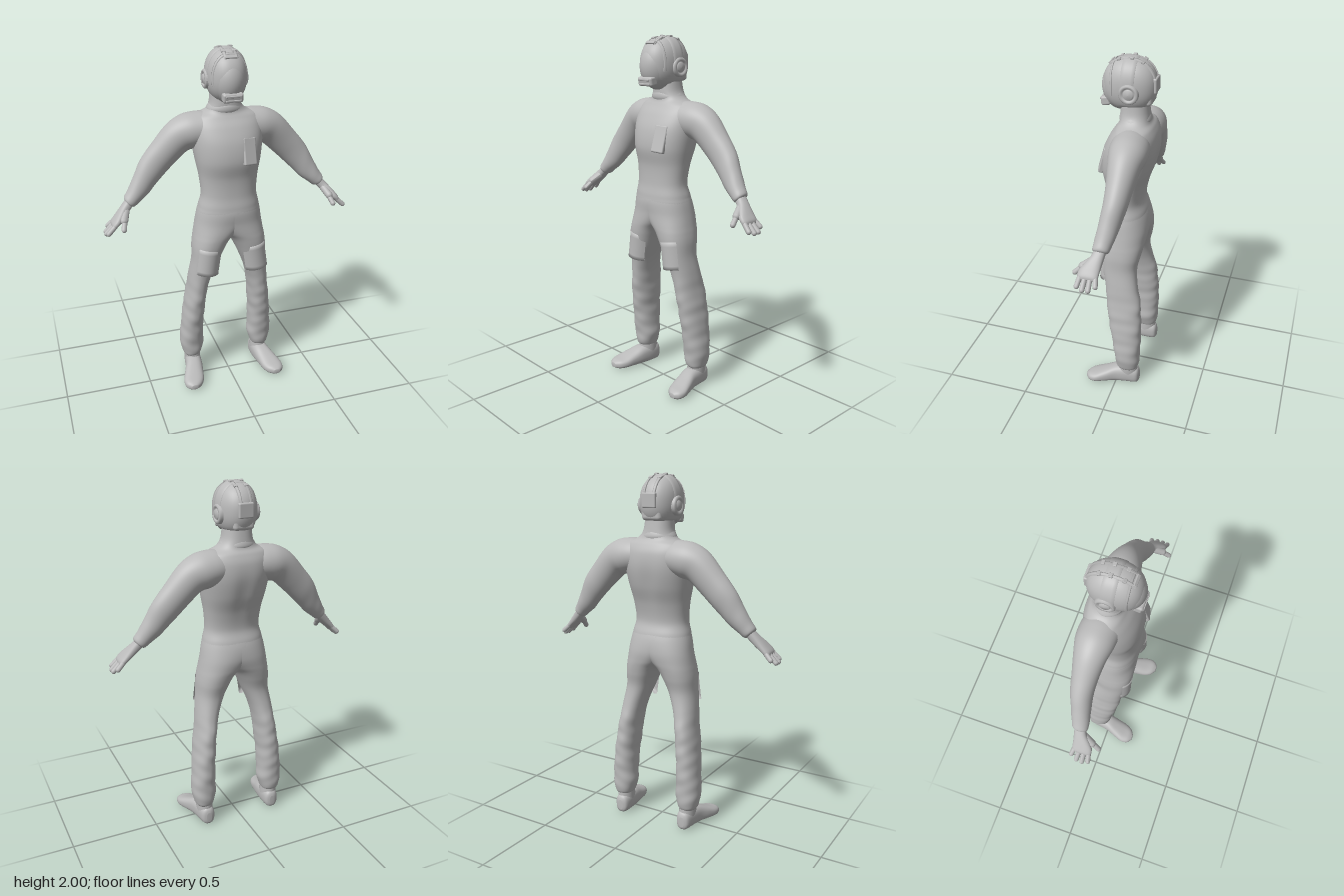
import * as THREE from 'three';
import { RoundedBoxGeometry } from 'three/addons/geometries/RoundedBoxGeometry.js';

const Y = new THREE.Vector3(0, 1, 0), Z = new THREE.Vector3(0, 0, 1);

// Smooth value k of a section list at position t (in section units)
function sample(list, t, k) {
  const i = Math.min(Math.floor(t), list.length - 2), f = t - i;
  const at = (n) => list[Math.max(0, Math.min(list.length - 1, n))][k] ?? 0;
  const [a, b, c, d] = [at(i - 1), at(i), at(i + 1), at(i + 2)];
  return b + 0.5 * f * (c - a + f * (2 * a - 5 * b + 4 * c - d + f * (3 * (b - c) + d - a)));
}

// Closed loft through sections [x, y, z, radiusA, radiusB, turn]; axis A is +x turned about z, axis B is given
function loft(list, B, { power = 2, segs = 40, steps = 5, bump = () => 1, minX = -9 } = {}) {
  const rows = (list.length - 1) * steps, pos = [], idx = [];
  const turn = list[0][5] ?? 0;
  const dir = new THREE.Vector3(Math.cos(turn), Math.sin(turn), 0).cross(B);
  const run = [0, 1, 2].map((k) => list[list.length - 1][k] - list[0][k]);
  const flip = dir.dot(new THREE.Vector3(...run)) > 0;
  const tri = (a, b, c) => idx.push(...(flip ? [a, c, b] : [a, b, c]));
  const se = (v) => Math.sign(v) * Math.abs(v) ** (2 / power);
  for (let i = 0; i <= rows; i++) {
    const [x, y, z, ra, rb, phi] = [0, 1, 2, 3, 4, 5].map((k) => sample(list, i / steps, k));
    for (let j = 0; j < segs; j++) {
      const a = (j / segs) * Math.PI * 2, s = bump(a, y);
      const u = se(Math.cos(a)) * ra * s, v = se(Math.sin(a)) * rb * s;
      pos.push(Math.max(minX, x + Math.cos(phi) * u + B.x * v), y + Math.sin(phi) * u + B.y * v, z + B.z * v);
      if (i < rows) {
        const p = i * segs + j, q = i * segs + ((j + 1) % segs);
        tri(p, p + segs, q);
        tri(q, p + segs, q + segs);
      }
    }
  }
  const c0 = pos.length / 3, top = rows * segs;
  pos.push(...list[0].slice(0, 3), ...list[list.length - 1].slice(0, 3));
  for (let j = 0; j < segs; j++) {
    const n = (j + 1) % segs;
    tri(c0, j, n);
    tri(c0 + 1, top + n, top + j);
  }
  const g = new THREE.BufferGeometry();
  g.setAttribute('position', new THREE.Float32BufferAttribute(pos, 3));
  g.setIndex(idx);
  g.computeVertexNormals();
  return g;
}

function mirrored(geo) {
  const g = geo.clone().scale(-1, 1, 1);
  const old = g.index ? Array.from(g.index.array) : Array.from({ length: g.attributes.position.count }, (_, i) => i);
  for (let i = 0; i < old.length; i += 3) [old[i], old[i + 1]] = [old[i + 1], old[i]];
  g.setIndex(old);
  g.computeVertexNormals();
  return g;
}

// Rounded finger between two points
function finger(a, b, r) {
  const p = new THREE.Vector3(...a), q = new THREE.Vector3(...b), d = q.clone().sub(p);
  const g = new THREE.CapsuleGeometry(r, d.length() - r, 5, 12);
  g.applyQuaternion(new THREE.Quaternion().setFromUnitVectors(Y, d.normalize()));
  return g.translate(...p.add(q).multiplyScalar(0.5).toArray());
}

// Irregular cloth folds that fade in below a height
const folds = (amount, start) => (a, y) => {
  const fade = THREE.MathUtils.clamp((start - y) * 5, 0, 1);
  return 1 + amount * fade * (Math.sin(y * 47 + 2 * Math.sin(a + 1)) + 0.7 * Math.sin(y * 83 - 3 * Math.cos(a)));
};

// Turns unit-sphere geometry into the slightly boxy helmet form
function helmetForm(geo) {
  const p = geo.attributes.position, n = 2.25, v = new THREE.Vector3();
  for (let i = 0; i < p.count; i++) {
    v.fromBufferAttribute(p, i);
    const len = v.length();
    const norm = (Math.abs(v.x) ** n + Math.abs(v.y) ** n + Math.abs(v.z) ** n) ** (1 / n);
    v.multiplyScalar(len / norm).multiply(new THREE.Vector3(0.107, 0.142, 0.142));
    p.setXYZ(i, v.x, v.y, v.z);
  }
  geo.computeVertexNormals();
  return geo;
}

export function createModel() {
  const model = new THREE.Group();
  const grey = new THREE.MeshStandardMaterial({ color: 0xbababa });
  grey.name = 'suit grey';
  grey.side = THREE.DoubleSide;
  const add = (name, geo, parent = model) => {
    const m = new THREE.Mesh(geo, grey);
    m.name = name;
    parent.add(m);
    return m;
  };
  const pair = (name, geo, parent) => {
    add(name + 'Left', geo, parent);
    add(name + 'Right', mirrored(geo), parent);
  };

  // Torso and neck, with a groove along the spine
  const torso = [
    [0, 1.03, -0.004, 0.1, 0.07], [0, 1.08, -0.003, 0.174, 0.12], [0, 1.13, 0, 0.173, 0.12],
    [0, 1.2, 0.005, 0.158, 0.106], [0, 1.3, -0.003, 0.166, 0.115],
    [0, 1.4, -0.012, 0.184, 0.142], [0, 1.5, -0.028, 0.198, 0.146], [0, 1.58, -0.043, 0.2, 0.127],
    [0, 1.63, -0.05, 0.18, 0.1], [-0.003, 1.66, -0.047, 0.115, 0.082],
    [-0.007, 1.7, -0.043, 0.086, 0.078], [-0.01, 1.77, -0.04, 0.078, 0.072],
  ];
  const groove = (a, y) => {
    const back = Math.exp(-(((a - Math.PI * 1.5) / 0.2) ** 2));
    return 1 - back * 0.06 * Math.exp(-(((y - 1.42) / 0.13) ** 2));
  };
  add('torso', loft(torso, Z, { power: 2.25, segs: 64, steps: 7, bump: groove }));
  add('collar', loft([
    [-0.005, 1.64, -0.045, 0.09, 0.07], [-0.006, 1.665, -0.045, 0.103, 0.084], [-0.007, 1.69, -0.043, 0.091, 0.081],
    [-0.007, 1.705, -0.043, 0.08, 0.07],
  ], Z));

  // Trouser legs, each rising out of one half of the hips
  const leg = [
    [0, 1.17, 0.003, 0.161, 0.107], [0, 1.1, -0.003, 0.18, 0.126], [0.035, 1.03, -0.009, 0.157, 0.128],
    [0.075, 0.97, -0.006, 0.127, 0.125], [0.102, 0.93, -0.003, 0.107, 0.121], [0.121, 0.88, 0, 0.094, 0.114],
    [0.141, 0.8, 0.002, 0.077, 0.1], [0.168, 0.7, -0.015, 0.064, 0.094], [0.186, 0.6, -0.032, 0.057, 0.1],
    [0.199, 0.5, -0.042, 0.06, 0.098], [0.209, 0.4, -0.052, 0.062, 0.092], [0.215, 0.3, -0.06, 0.066, 0.083],
    [0.217, 0.2, -0.065, 0.07, 0.074], [0.217, 0.14, -0.067, 0.055, 0.068], [0.217, 0.12, -0.067, 0.046, 0.056],
  ];
  pair('leg', loft(leg, Z, { power: 2.25, segs: 56, steps: 8, bump: folds(0.018, 0.72), minX: -0.03 }));

  // Thigh pockets, gaping at the lower edge
  const pocket = new THREE.LatheGeometry(
    [[0.88, -0.082], [1.12, -0.082], [1.11, -0.06], [1.12, 0.05], [1.15, 0.076], [0.9, 0.078]].map((p) => new THREE.Vector2(...p)),
    16, -0.85, 1.65);
  pocket.scale(0.08, 1, 0.102).rotateZ(0.14).translate(0.139, 0.81, 0.002);
  pair('thighPocket', pocket);

  // Chest pocket on the left breast, flush at its top
  const chest = add('chestPocket', new RoundedBoxGeometry(0.078, 0.15, 0.03, 3, 0.008));
  chest.position.set(0.086, 1.455, 0.104);
  chest.rotation.set(-0.27, 0.25, 0);

  // Boots
  const boot = [
    [0.212, 0.05, -0.14, 0.015, 0.03], [0.212, 0.055, -0.125, 0.038, 0.053], [0.214, 0.06, -0.07, 0.048, 0.06],
    [0.222, 0.056, 0, 0.052, 0.056], [0.238, 0.044, 0.06, 0.058, 0.044], [0.252, 0.033, 0.115, 0.061, 0.033],
    [0.259, 0.028, 0.155, 0.047, 0.026], [0.262, 0.026, 0.178, 0.018, 0.014],
  ];
  pair('boot', loft(boot, Y, { power: 2.5 }));
  pair('bootShaft', loft([[0.213, 0.04, -0.065, 0.045, 0.06], [0.214, 0.09, -0.066, 0.047, 0.062], [0.216, 0.17, -0.068, 0.045, 0.055]], Z));

  // Sleeves, rings turning from upright in the chest to square with the sloping arm
  const d = Math.PI / 4;
  const arm = [
    [0.03, 1.56, -0.047, 0.075, 0.09, 1.57], [0.1, 1.56, -0.052, 0.091, 0.102, 1.54], [0.155, 1.557, -0.058, 0.097, 0.104, 1.45],
    [0.21, 1.546, -0.061, 0.1, 0.1, 1.22], [0.272, 1.516, -0.062, 0.092, 0.085, 0.95],
    [0.345, 1.442, -0.062, 0.084, 0.07, d], [0.42, 1.36, -0.058, 0.077, 0.06, d],
    [0.49, 1.265, -0.042, 0.059, 0.052, d], [0.53, 1.217, -0.033, 0.046, 0.047, d], [0.555, 1.19, -0.028, 0.038, 0.043, d],
    [0.562, 1.183, -0.027, 0.024, 0.03, d],
  ];
  pair('sleeve', loft(arm, Z, { segs: 48, bump: folds(0.014, 1.42), steps: 8 }));

  // Hands
  pair('palm', loft([
    [0.545, 1.2, -0.028, 0.026, 0.031, d], [0.575, 1.167, -0.019, 0.026, 0.034, d], [0.605, 1.135, -0.003, 0.025, 0.045, d],
    [0.63, 1.11, 0.008, 0.022, 0.053, d], [0.652, 1.088, 0.011, 0.018, 0.053, d], [0.662, 1.077, 0.011, 0.009, 0.044, d],
  ], Z, { power: 2.4, segs: 28 }));
  [[-0.027, -0.04, 0.685, 1.056], [-0.002, -0.006, 0.701, 1.037], [0.023, 0.026, 0.702, 1.036], [0.047, 0.058, 0.693, 1.046]]
    .forEach(([z0, z1, x, y], i) => pair('finger' + (i + 1), finger([0.638, 1.1, z0], [x, y, z1], 0.0135)));
  pair('thumbBase', finger([0.58, 1.155, -0.005], [0.604, 1.11, 0.06], 0.021));
  pair('thumb', finger([0.597, 1.12, 0.045], [0.612, 1.073, 0.095], 0.0145));

  // Helmet, placed at its own centre
  const helmet = new THREE.Group();
  helmet.name = 'helmet';
  helmet.position.set(-0.01, 1.85, -0.015);
  model.add(helmet);
  const shell = helmetForm(new THREE.SphereGeometry(1, 48, 36));
  const sp = shell.attributes.position;
  for (let i = 0; i < sp.count; i++) {
    const floor = -0.095 - 0.03 * THREE.MathUtils.smoothstep(sp.getZ(i), 0, 0.08);
    sp.setY(i, Math.max(sp.getY(i), floor));
  }
  shell.computeVertexNormals();
  add('helmetShell', shell, helmet);
  add('facePlate', new THREE.SphereGeometry(1, 40, 30).scale(0.092, 0.128, 0.106).translate(0, -0.012, 0.045), helmet);

  // Raised belts that hug the shell, between two normalised heights along their axis
  const belt = (t0, t1, k, start, length) => {
    const ts = [0, 1, 2, 3, 4].map((i) => t0 + ((t1 - t0) * i) / 4);
    const r = (t, s) => new THREE.Vector2(Math.sqrt(1 - t * t) * s, t);
    return new THREE.LatheGeometry([r(t0, 0.96), ...ts.map((t) => r(t, k)), r(t1, 0.96)], 40, start, length);
  };
  add('crownBand', helmetForm(belt(-0.3, 0.18, 1.03, Math.PI / 2, Math.PI).rotateX(Math.PI / 2)), helmet);
  add('faceRim', helmetForm(belt(0.5, 0.58, 1.035, Math.PI * 0.4, Math.PI * 1.2).rotateX(Math.PI / 2)), helmet);
  for (const s of [-1, 1]) {
    add('topStrap', helmetForm(belt(s * 0.27 - 0.06, s * 0.27 + 0.06, 1.04, Math.PI + 0.35, 2.0).rotateZ(-Math.PI / 2)), helmet);
    for (const [y, z, tilt] of [[0.144, -0.015, -0.1], [0.134, 0.052, 0.4], [0.128, -0.07, -0.5]]) {
      const b = add('strapBuckle', new RoundedBoxGeometry(0.022, 0.012, 0.02, 2, 0.003), helmet);
      b.position.set(s * 0.029, y, z);
      b.rotation.x = tilt;
    }
  }
  const clip = add('frontClip', new RoundedBoxGeometry(0.065, 0.016, 0.02, 2, 0.004), helmet);
  clip.position.set(0, 0.11, 0.097);
  clip.rotation.x = 0.75;

  // Ear cups
  const cup = new THREE.LatheGeometry(
    [[0.052, 0], [0.052, 0.016], [0.046, 0.023], [0.036, 0.023], [0.033, 0.016], [0.026, 0.016], [0.024, 0.024], [0, 0.026]]
      .map((p) => new THREE.Vector2(...p)), 32);
  pair('earCup', cup.rotateZ(-Math.PI / 2).translate(0.095, -0.018, -0.018), helmet);

  // Chin vent with slats, rear pad and nape guard
  const vent = add('chinVent', new RoundedBoxGeometry(0.11, 0.05, 0.05, 3, 0.012), helmet);
  vent.position.set(0, -0.09, 0.122);
  vent.rotation.x = 0.2;
  for (const y of [-0.012, 0.012]) {
    add('ventSlat', new RoundedBoxGeometry(0.085, 0.011, 0.012, 2, 0.003), vent).position.set(0, y, 0.024);
  }
  add('rearPad', new RoundedBoxGeometry(0.085, 0.08, 0.03, 3, 0.008), helmet).position.set(0, 0.012, -0.131);
  add('napeGuard', new RoundedBoxGeometry(0.12, 0.07, 0.05, 4, 0.02), helmet).position.set(0, -0.06, -0.1);
  return model;
}
